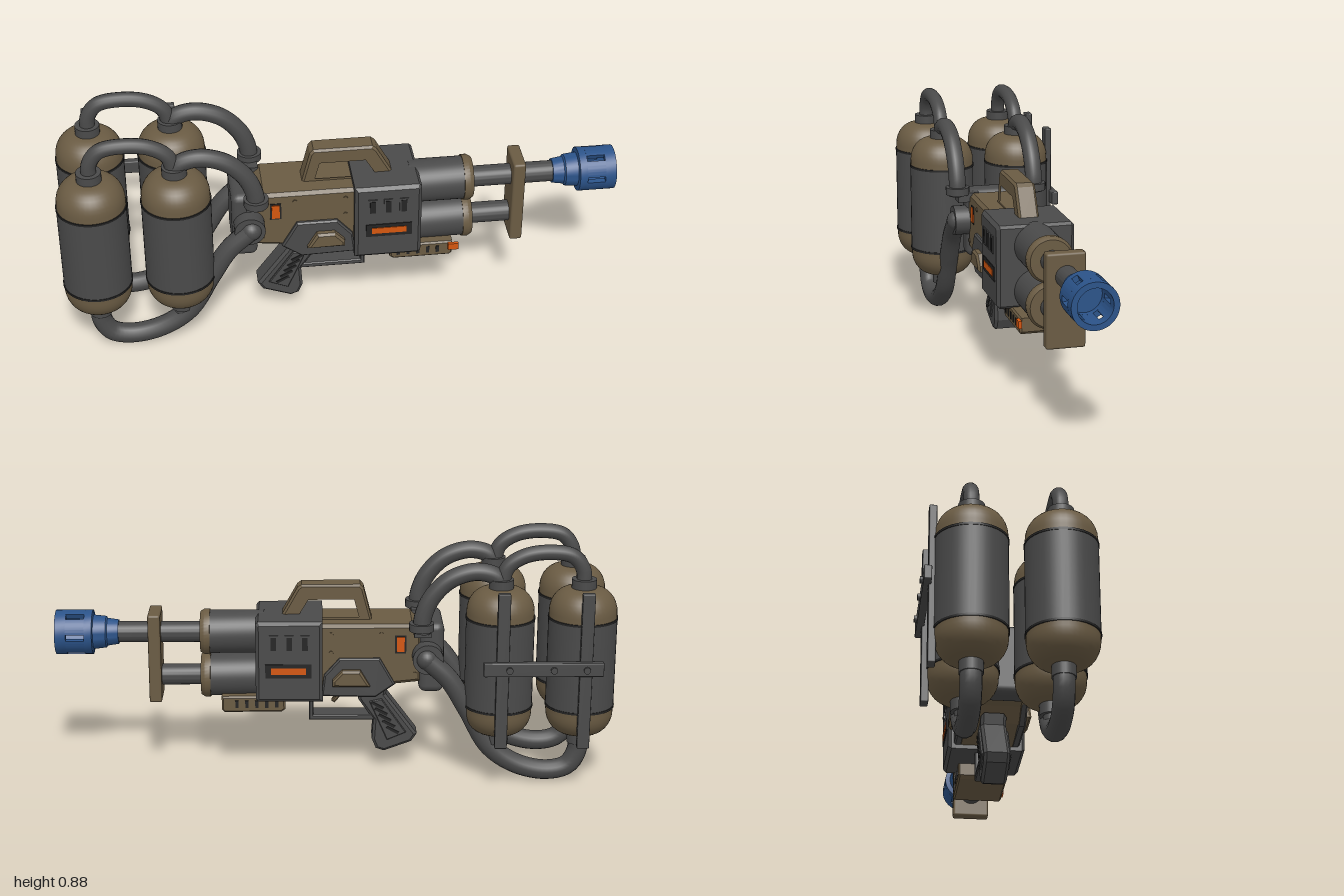
import * as THREE from 'three';
import { toCreasedNormals } from 'three/addons/utils/BufferGeometryUtils.js';
import { RoundedBoxGeometry } from 'three/addons/geometries/RoundedBoxGeometry.js';

const mat = (name, color) => {
  const m = new THREE.MeshStandardMaterial({ color });
  m.name = name;
  return m;
};

export function createModel() {
  const tan = mat('tan', 0x6a5b43), dark = mat('dark grey', 0x4a4a4a), black = mat('black', 0x242424);
  const blue = mat('blue', 0x2b5389), orange = mat('orange', 0xd4560f);
  const root = new THREE.Group();
  root.name = 'tankFedLauncher';
  root.position.z = 0.02;

  const add = (name, geo, material, x = 0, y = 0, z = 0) => {
    const m = new THREE.Mesh(geo, material);
    m.name = name;
    m.position.set(x, y, z);
    root.add(m);
    return m;
  };
  // box given by its x and y limits, centre z and depth
  const box = (name, material, x0, x1, y0, y1, z, d, r = 0) => {
    const g = r ? new RoundedBoxGeometry(x1 - x0, y1 - y0, d, 2, r) : new THREE.BoxGeometry(x1 - x0, y1 - y0, d);
    return add(name, g, material, (x0 + x1) / 2, (y0 + y1) / 2, z);
  };
  // side outline extruded across z with a chamfer
  const prism = (name, material, pts, d, bevel = 0.008, hole = null, z = 0) => {
    const s = new THREE.Shape(pts.map(p => new THREE.Vector2(...p)));
    if (hole) s.holes.push(new THREE.Path(hole.map(p => new THREE.Vector2(...p))));
    const g = new THREE.ExtrudeGeometry(s, {
      depth: d - 2 * bevel, bevelEnabled: bevel > 0, bevelSize: bevel, bevelThickness: bevel,
      bevelOffset: -bevel, bevelSegments: 1,
    });
    g.translate(0, 0, -d / 2 + bevel);
    return add(name, g, material, 0, 0, z);
  };
  const lathe = (pts, seg = 40) => toCreasedNormals(
    new THREE.LatheGeometry(pts.map(p => new THREE.Vector2(...p)), seg), 0.6);
  // turned part along x, profile as [radius, x]
  const turned = (name, material, pts, y) => add(name, lathe(pts).rotateZ(-Math.PI / 2), material, 0, y);
  const tube = (name, pts, r, z) => add(name, new THREE.TubeGeometry(
    new THREE.CatmullRomCurve3(pts.map(p => new THREE.Vector3(p[0], p[1], z))), 48, r, 14), dark);
  const collar = (name, r, h, x, y, z) => add(name, new THREE.CylinderGeometry(r, r, h, 24), dark, x, y, z);

  // tanks, hoses and couplings, mirrored across the centre
  const profile = [[0, 0.185]];
  for (let i = 0; i <= 8; i++) {
    const a = i / 8 * Math.PI / 2;
    profile.push([0.045 + 0.075 * Math.sin(a), 0.27 - 0.085 * Math.cos(a)]);
  }
  const fullProfile = [...profile, ...profile.map(([r, y]) => [r, 0.91 - y]).reverse()];
  for (const s of [1, -1]) {
    const z = 0.147 * s;
    for (const x of [-0.88, -0.588]) {
      add('tankShell', lathe(fullProfile), tan, x, 0, z);
      add('tankSleeve', new THREE.CylinderGeometry(0.1215, 0.1215, 0.33, 40), dark, x, 0.455, z);
      for (const y of [0.292, 0.618]) {
        add('tankRim', new THREE.CylinderGeometry(0.1235, 0.1235, 0.008, 40), black, x, y, z);
      }
      collar('topCollar', 0.044, 0.04, x, 0.737, z);
      collar('bottomCollar', 0.04, 0.045, x, 0.168, z);
    }
    tube('linkHose', [[-0.88, 0.73], [-0.875, 0.79], [-0.84, 0.838], [-0.76, 0.853], [-0.67, 0.84],
      [-0.61, 0.80], [-0.588, 0.73]], 0.027, z);
    tube('upperHose', [[-0.588, 0.73], [-0.57, 0.765], [-0.5, 0.783], [-0.41, 0.755], [-0.345, 0.69],
      [-0.315, 0.62], [-0.31, 0.56]], 0.032, z);
    tube('lowerHose', [[-0.88, 0.18], [-0.878, 0.11], [-0.845, 0.055], [-0.77, 0.036], [-0.66, 0.06],
      [-0.56, 0.13], [-0.48, 0.27], [-0.41, 0.385], [-0.33, 0.46]], 0.036, z);
    collar('tankOutlet', 0.028, 0.09, -0.588, 0.14, z);
    collar('hoseEndCollar', 0.044, 0.028, -0.31, 0.582, z);
    box('hoseBracket', dark, -0.345, -0.285, 0.54, 0.575, 0.11 * s, 0.08);
    add('sideCoupling', new THREE.CylinderGeometry(0.055, 0.055, 0.09, 28).rotateX(Math.PI / 2),
      dark, -0.335, 0.46, 0.115 * s);
    add('hoseElbow', new THREE.SphereGeometry(0.038, 20, 14), dark, -0.33, 0.46, z);
  }

  // carrying frame on the rear side
  for (const x of [-0.88, -0.588]) {
    box('frameUpright', dark, x - 0.022, x + 0.022, 0.17, 0.74, -0.273, 0.026, 0.004);
  }
  box('frameCrossbar', dark, -0.94, -0.52, 0.445, 0.495, -0.29, 0.026, 0.004);
  for (const x of [-0.88, -0.765, -0.61]) {
    add('frameBolt', new THREE.CylinderGeometry(0.012, 0.012, 0.012, 16).rotateX(Math.PI / 2), dark, x, 0.47, -0.306);
  }

  // receiver
  box('rearBlock', dark, -0.395, -0.305, 0.32, 0.58, 0, 0.225, 0.025);
  prism('receiver', tan, [[-0.315, 0.36], [-0.22, 0.35], [-0.16, 0.31], [0.06, 0.31], [0.06, 0.575],
    [-0.28, 0.575], [-0.315, 0.545]], 0.21, 0.012);
  prism('carryHandle', tan, [[-0.14, 0.565], [-0.108, 0.69], [-0.095, 0.704], [0.115, 0.704], [0.13, 0.692],
    [0.19, 0.585], [0.19, 0.565]], 0.074, 0.008, [[-0.1, 0.577], [-0.08, 0.657], [0.095, 0.657], [0.14, 0.577]]);
  prism('foregripHousing', dark, [[0.04, 0.295], [0.27, 0.295], [0.28, 0.305], [0.28, 0.585], [0.27, 0.595],
    [0.04, 0.595]], 0.28, 0.012);

  // side details on both faces
  for (const s of [1, -1]) {
    prism('sidePanel', dark, [[-0.22, 0.355], [-0.165, 0.452], [-0.02, 0.452], [0.035, 0.39], [0.045, 0.31],
      [-0.15, 0.305]], 0.03, 0.006, null, 0.104 * s);
    prism('sideBadge', tan, [[-0.13, 0.352], [-0.095, 0.412], [-0.03, 0.412], [0.005, 0.375], [0.005, 0.352]],
      0.05, 0.008, null, 0.118 * s);
    box('sideLamp', orange, -0.253, -0.225, 0.475, 0.53, 0.106 * s, 0.009);
    box('lampSurround', black, -0.259, -0.219, 0.469, 0.536, 0.104 * s, 0.006);
    for (let i = 0; i < 3; i++) {
      const x = 0.103 + i * 0.056;
      box('ventFrame', dark, x - 0.016, x + 0.016, 0.485, 0.548, 0.141 * s, 0.006);
      box('ventSlot', black, x - 0.01, x + 0.01, 0.492, 0.541, 0.142 * s, 0.007);
    }
    box('displaySurround', black, 0.08, 0.245, 0.388, 0.44, 0.14 * s, 0.006);
    box('displayStrip', orange, 0.1, 0.225, 0.402, 0.426, 0.141 * s, 0.009);
    for (const [x, y] of [[-0.29, 0.39], [0.01, 0.54], [-0.17, 0.54], [0.01, 0.47]]) {
      add('rivet', new THREE.CylinderGeometry(0.008, 0.008, 0.006, 12).rotateX(Math.PI / 2), tan, x, y, 0.106 * s);
    }
  }

  // pistol grip, trigger and guard
  prism('grip', dark, [[-0.305, 0.135], [-0.285, 0.105], [-0.185, 0.068], [-0.155, 0.078], [-0.14, 0.115],
    [-0.145, 0.19], [-0.09, 0.27], [-0.09, 0.33], [-0.2, 0.33], [-0.19, 0.29]], 0.09, 0.01);
  for (const s of [1, -1]) {
    prism('gripPanel', dark, [[-0.265, 0.145], [-0.195, 0.115], [-0.13, 0.265], [-0.175, 0.275]],
      0.014, 0.003, null, 0.046 * s);
    for (let i = 0; i < 5; i++) {
      const rib = box('gripRib', black, -0.025, 0.025, -0.005, 0.005, 0.053 * s, 0.005);
      rib.position.set(-0.215 + i * 0.014, 0.155 + i * 0.024, 0.053 * s);
      rib.rotation.z = 0.5;
    }
  }
  prism('triggerGuard', dark, [[-0.15, 0.19], [0.09, 0.19], [0.09, 0.31], [0.073, 0.31], [0.073, 0.21],
    [-0.15, 0.21]], 0.08, 0.004);
  prism('trigger', tan, [[-0.04, 0.32], [0, 0.32], [-0.012, 0.285], [0.008, 0.255], [-0.003, 0.248],
    [-0.032, 0.28]], 0.03, 0.004);

  // lower rail with indicator tab
  prism('lowerRail', tan, [[0.175, 0.25], [0.19, 0.24], [0.395, 0.24], [0.405, 0.25], [0.405, 0.3],
    [0.175, 0.3]], 0.18, 0.006);
  for (const s of [1, -1]) for (let i = 0; i < 5; i++) {
    box('railSlot', black, 0.2 + i * 0.036, 0.212 + i * 0.036, 0.258, 0.285, 0.09 * s, 0.004);
  }
  box('railTab', orange, 0.388, 0.426, 0.27, 0.296, 0.095, 0.012);

  // two barrels with end rings and rods
  for (const [y, end] of [[0.52, 0.79], [0.357, 0.64]]) {
    turned('barrel', dark, [[0, 0.25], [0.078, 0.25], [0.078, 0.45], [0, 0.45]], y);
    turned('barrelRing', tan, [[0.07, 0.445], [0.082, 0.445], [0.083, 0.465], [0.074, 0.48], [0, 0.48]], y);
    turned('rod', dark, [[0, 0.46], [0.038, 0.46], [0.038, end], [0, end]], y);
  }
  box('frontPlate', tan, 0.622, 0.667, 0.27, 0.6, 0, 0.136, 0.008);

  // slotted nozzle
  turned('nozzleBase', blue, [[0, 0.775], [0.044, 0.775], [0.05, 0.815], [0.057, 0.82], [0.062, 0.865],
    [0.08, 0.867], [0.08, 0.895], [0.06, 0.895], [0.06, 0.872], [0, 0.872]], 0.52);
  turned('nozzleLip', blue, [[0.06, 0.96], [0.08, 0.96], [0.08, 1], [0.06, 1], [0.06, 0.96]], 0.52);
  for (let i = 0; i < 6; i++) {
    const a = i * Math.PI / 3 + 0.14, b = (i + 1) * Math.PI / 3 - 0.14;
    const s = new THREE.Shape();
    s.absarc(0, 0, 0.08, a, b, false);
    s.absarc(0, 0, 0.06, b, a, true);
    const g = new THREE.ExtrudeGeometry(s, { depth: 0.067, bevelEnabled: false, curveSegments: 8 });
    add('nozzleWall', toCreasedNormals(g, 0.6).rotateY(Math.PI / 2), blue, 0.894, 0.52, 0);
  }

  const model = new THREE.Group();
  model.name = 'model';
  model.add(root);
  return model;
}
